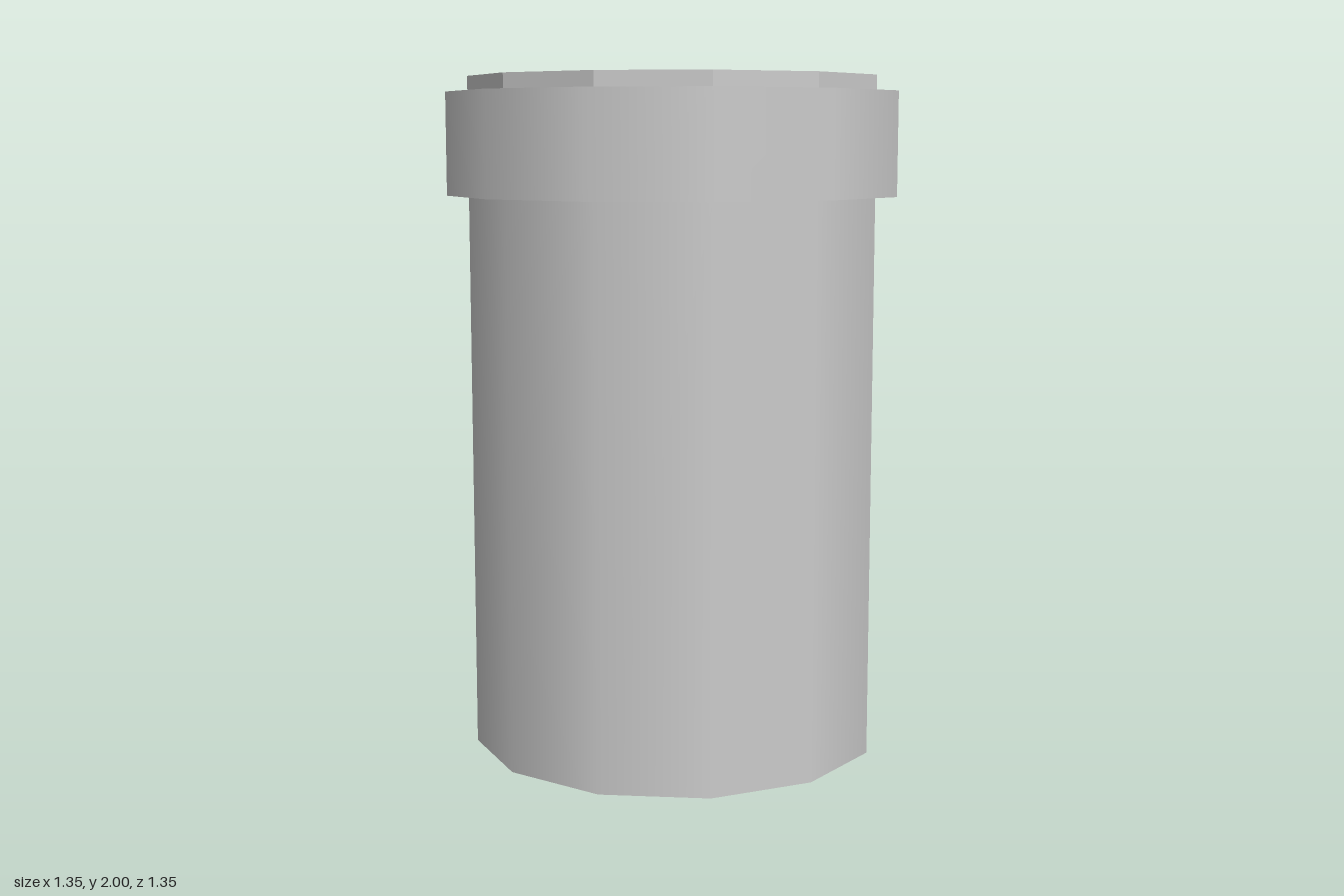
import * as THREE from 'three';

const SIDES = 12;
const BODY_RADIUS = 0.612;
const COLLAR_RADIUS = 0.676;

// Upright twelve-sided drum between two heights
function drum(name, radius, bottom, top, flatShading = false) {
  const height = top - bottom;
  const mesh = new THREE.Mesh(
    new THREE.CylinderGeometry(radius, radius, height, SIDES),
    new THREE.MeshStandardMaterial({ color: 0xcccccc, flatShading })
  );
  mesh.name = name;
  mesh.position.y = bottom + height / 2;
  return mesh;
}

export function createModel() {
  const model = new THREE.Group();
  model.name = 'canister';
  model.add(
    // Tall smooth-shaded body
    drum('body', BODY_RADIUS, 0, 1.655),
    // Wider band around the top
    drum('collar', COLLAR_RADIUS, 1.655, 1.955),
    // Low faceted disc rising above the collar
    drum('topDisc', BODY_RADIUS, 1.955, 2, true)
  );
  return model;
}
